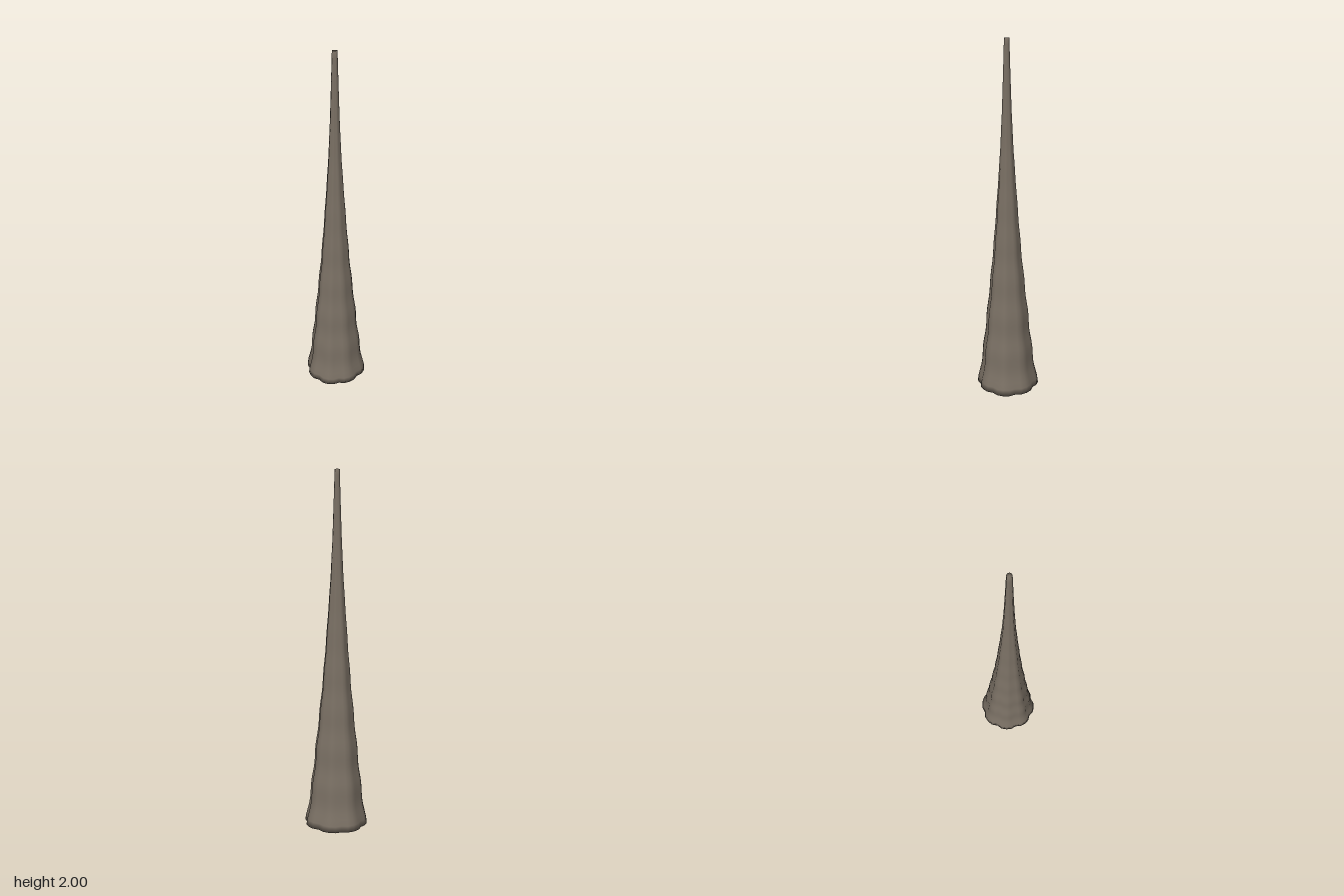
import * as THREE from 'three';
import { mergeVertices } from 'three/addons/utils/BufferGeometryUtils.js';

const HEIGHT = 2;
const AXIS_X = -0.008;
// mean radius at every 0.2 of height
const TAPER = [0.181, 0.149, 0.126, 0.104, 0.083, 0.066, 0.051, 0.037, 0.027, 0.02, 0.014];

// radius along the height: taper plus drip ripples that fade upward
function radiusAt(y) {
  const t = Math.min(y / 0.2, TAPER.length - 1.0001);
  const i = Math.floor(t);
  const taper = THREE.MathUtils.lerp(TAPER[i], TAPER[i + 1], t - i);
  const fade = 1 - y / HEIGHT;
  return taper * (1 + 0.025 * fade * (Math.cos((y - 0.015) * Math.PI * 2 / 0.22) - 1 + y / HEIGHT));
}

// outline around the axis: eight rounded flutes, slightly lopsided
function outlineAt(a) {
  const flute = 0.014 * Math.sqrt(Math.abs(Math.sin(4 * a)));
  return (0.169 + 0.009 * Math.cos(a) - 0.003 * Math.cos(3 * a) + flute) / 0.181;
}

export function createModel() {
  const group = new THREE.Group();
  group.name = 'stalagmite';
  const stone = new THREE.MeshStandardMaterial({ color: 0x7a7064 });
  stone.name = 'grey brown stone';

  // capped column of unit radius, reshaped by the rules above
  let column = new THREE.CylinderGeometry(1, 1, HEIGHT, 32, 60);
  column.translate(0, HEIGHT / 2, 0);
  column.deleteAttribute('uv');
  column.deleteAttribute('normal');
  column = mergeVertices(column, 1e-4);
  const p = column.attributes.position;
  for (let i = 0; i < p.count; i++) {
    const x = p.getX(i), y = p.getY(i), z = p.getZ(i);
    const r = Math.hypot(x, z) * radiusAt(y) * outlineAt(Math.atan2(z, x));
    const a = Math.atan2(z, x);
    p.setXYZ(i, AXIS_X + r * Math.cos(a), y, r * Math.sin(a));
  }
  column.clearGroups();
  column.computeVertexNormals();

  const spire = new THREE.Mesh(column, stone);
  spire.name = 'flutedSpire';
  group.add(spire);
  return group;
}
